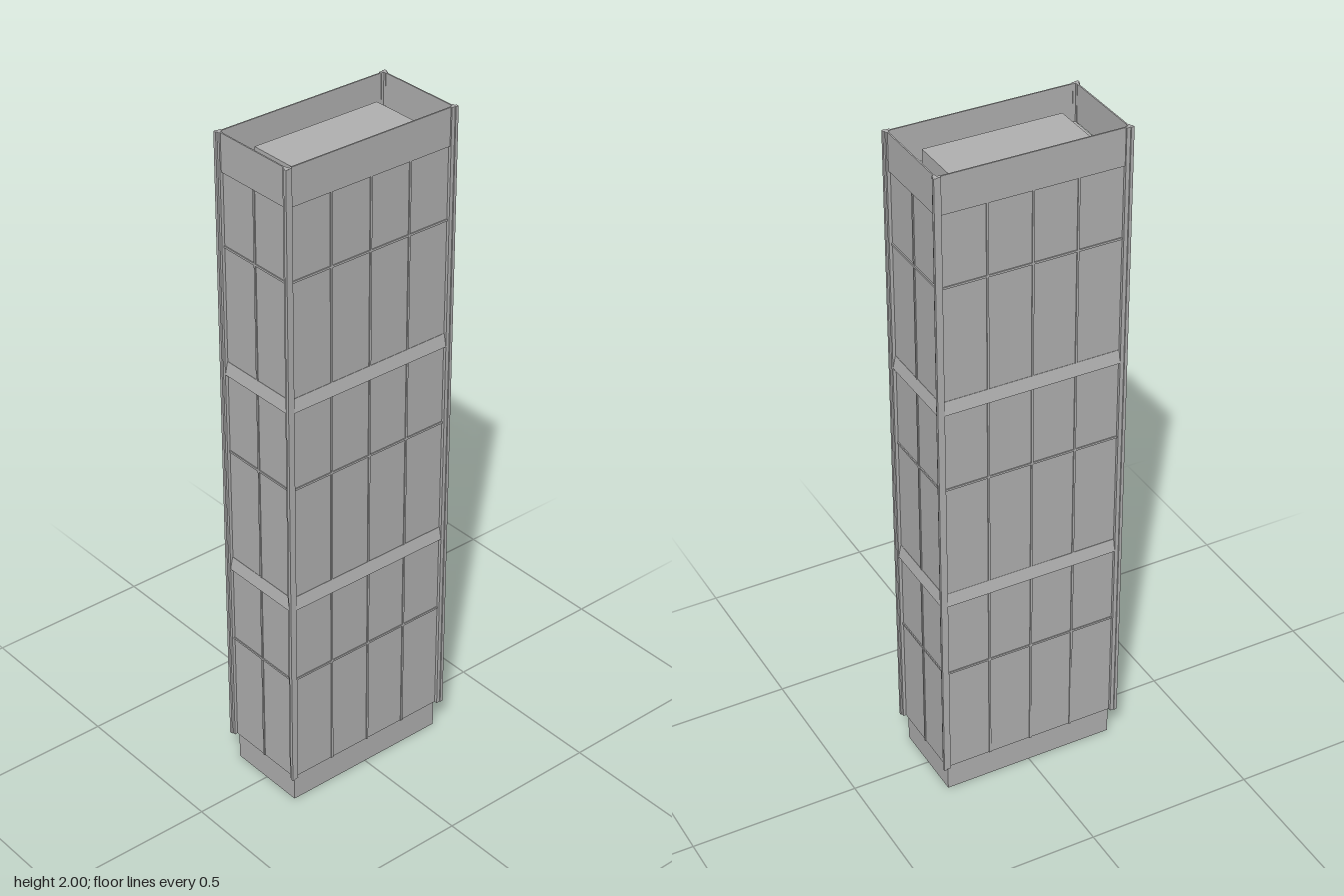
import * as THREE from 'three';

export function createModel() {
  const model = new THREE.Group();
  model.name = 'tower';
  const concrete = new THREE.MeshStandardMaterial({ color: 0xb0b0b0 });
  concrete.name = 'concrete grey';

  const add = (parent, name, geometry, x = 0, y = 0, z = 0) => {
    const mesh = new THREE.Mesh(geometry, concrete);
    mesh.name = name;
    mesh.position.set(x, y, z);
    parent.add(mesh);
    return mesh;
  };
  // box given by its size, its bottom height and its plan centre
  const box = (parent, name, w, h, d, x, y, z) =>
    add(parent, name, new THREE.BoxGeometry(w, h, d), x, y + h / 2, z);

  const bottom = 0.087, roof = 1.89, top = 2;

  // main block and rooftop platform
  box(model, 'body', 0.54, roof - bottom, 0.264, 0, bottom, 0);
  box(model, 'roofPlatform', 0.404, 0.065, 0.162, 0, roof, 0);

  // one facade: d = distance of the outer plane, half = half width between pillars
  function facade(name, d, half, angle, mullions) {
    const g = new THREE.Group();
    g.name = name;
    g.rotation.y = angle;
    model.add(g);
    const span = half * 2;

    // hollow base wall and parapet
    box(g, 'baseWall', span, bottom, 0.003, 0, 0, d - 0.0135);
    box(g, 'parapet', span + 0.018, top - roof, 0.004, 0, roof, d - 0.002);

    // sloping floor bands that overhang the windows below
    for (const y of [0.67, 1.297]) {
      const profile = new THREE.Shape([
        new THREE.Vector2(-(d - 0.007), y),
        new THREE.Vector2(-(d - 0.007), y + 0.038),
        new THREE.Vector2(-(d - 0.004), y + 0.038),
        new THREE.Vector2(-(d + 0.004), y),
      ]);
      const geo = new THREE.ExtrudeGeometry(profile, { depth: span, bevelEnabled: false });
      geo.rotateY(Math.PI / 2).translate(-half, 0, 0);
      add(g, 'floorBand', geo);
    }

    // window bars for each of the three storeys
    for (const [low, high, mid] of [[bottom, 0.67, 0.43], [0.708, 1.297, 1.055], [1.335, roof, 1.677]]) {
      box(g, 'transom', span, 0.006, 0.004, 0, mid - 0.003, d - 0.004);
      for (const x of mullions) box(g, 'mullion', 0.006, high - low, 0.004, x, low, d - 0.004);
    }
  }
  const quarters = [-0.131, 0, 0.131];
  facade('frontFacade', 0.137, 0.262, 0, quarters);
  facade('backFacade', 0.137, 0.262, Math.PI, quarters);
  facade('leftFacade', 0.275, 0.125, Math.PI / 2, [0]);
  facade('rightFacade', 0.275, 0.125, -Math.PI / 2, [0]);

  // flared L-shaped corner pillars
  const section = [
    [0.283, 0.143], [0.274, 0.143], [0.273, 0.141], [0.262, 0.141], [0.262, 0.132],
    [0.27, 0.132], [0.27, 0.125], [0.279, 0.125], [0.279, 0.133], [0.283, 0.134],
  ];
  for (const sx of [-1, 1]) {
    for (const sz of [-1, 1]) {
      const shape = new THREE.Shape(section.map(([x, z]) => new THREE.Vector2(sx * x, sz * z)));
      const geo = new THREE.ExtrudeGeometry(shape, { depth: top - bottom, bevelEnabled: false });
      geo.rotateX(-Math.PI / 2);
      add(model, 'cornerPillar', geo, 0, bottom, 0);
    }
  }
  return model;
}
